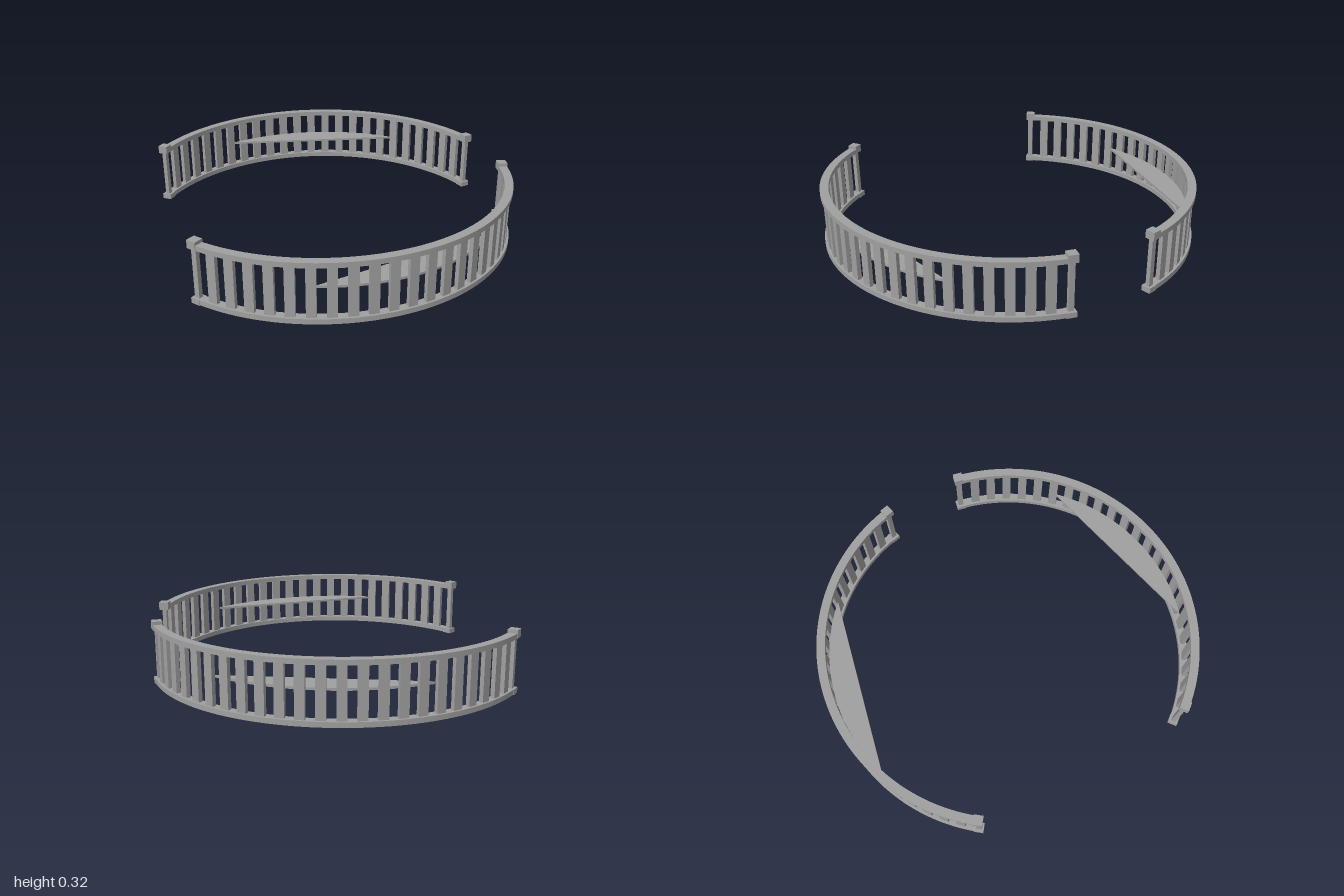
import * as THREE from 'three';

const R_IN = 0.955, R_OUT = 1.0, R_MID = 0.9775;
const BARS = 24; // spaces between balusters
const rad = THREE.MathUtils.degToRad;

const grey = new THREE.MeshStandardMaterial({ color: 0xa0a0a0 });
grey.name = 'grey';

function add(parent, name, geometry) {
  const mesh = new THREE.Mesh(geometry, grey);
  mesh.name = name;
  parent.add(mesh);
  return mesh;
}

// Extrudes a plan shape (x, z) downward from the height top
function slab(shape, top, height) {
  const g = new THREE.ExtrudeGeometry(shape, { depth: height, bevelEnabled: false, curveSegments: 48 });
  g.rotateX(Math.PI / 2);
  return g.translate(0, top, 0);
}

// Box on the circle at angle a; z size runs along the arc
function blockAt(parent, name, a, radial, height, along, y) {
  const mesh = add(parent, name, new THREE.BoxGeometry(radial, height, along));
  mesh.position.set(R_MID * Math.cos(a), y, R_MID * Math.sin(a));
  mesh.rotation.y = -a;
}

// One curved railing from angle a0 to a1 with a bench between b0 and b1
function railing(name, cx, a0, a1, b0, b1, benchR) {
  const group = new THREE.Group();
  group.name = name;
  group.position.x = cx;
  // slight rise toward the middle of the arc
  const lift = a => 0.008 * Math.sin(Math.PI * THREE.MathUtils.clamp((a - a0) / (a1 - a0), 0, 1));

  // Rails
  const arc = new THREE.Shape();
  arc.absarc(0, 0, R_OUT, a0, a1, false);
  arc.absarc(0, 0, R_IN, a1, a0, true);
  for (const [part, top, h] of [['topRail', 0.308, 0.026], ['bottomRail', 0.028, 0.026]]) {
    const g = slab(arc, top, h);
    const p = g.attributes.position;
    for (let i = 0; i < p.count; i++) {
      p.setY(i, p.getY(i) + lift(Math.atan2(p.getZ(i), p.getX(i))));
    }
    g.computeVertexNormals();
    add(group, part, g);
  }

  // Balusters, narrower at both ends
  for (let i = 0; i <= BARS; i++) {
    const a = a0 + (a1 - a0) * i / BARS;
    const end = i === 0 || i === BARS;
    blockAt(group, 'baluster', a, 0.022, 0.262, end ? 0.028 : 0.047, 0.158 + lift(a));
  }

  // End caps and feet
  for (const a of [a0, a1]) {
    blockAt(group, 'endCap', a, 0.05, 0.042, 0.05, 0.304);
    blockAt(group, 'endFoot', a, 0.05, 0.028, 0.05, 0.014);
  }

  // Bench: thin circle segment cut off by a straight chord
  const seat = new THREE.Shape();
  seat.absarc(0, 0, benchR, b0, b1, false);
  seat.closePath();
  add(group, 'bench', slab(seat, 0.177, 0.012));
  return group;
}

export function createModel() {
  const model = new THREE.Group();
  model.name = 'curvedRailings';
  model.add(railing('backRailing', -0.075, rad(-138.3), rad(-10), rad(-105), rad(-43), 0.96));
  model.add(railing('frontRailing', -0.085, rad(16.4), rad(146.3), rad(49.9), rad(112.8), 0.955));
  return model;
}
